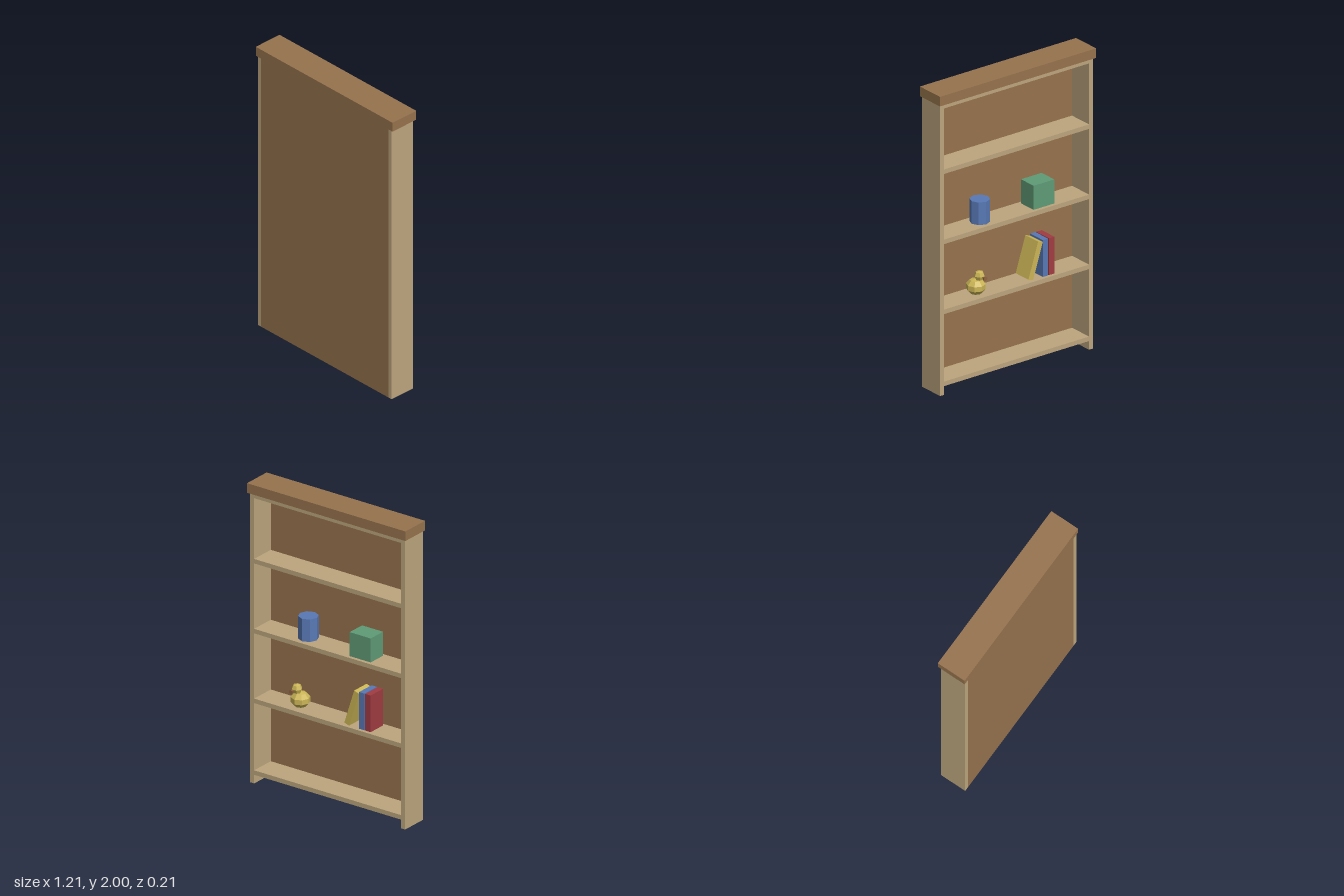
import * as THREE from 'three';

const mat = (name, color, flat = false) => {
  const m = new THREE.MeshStandardMaterial({ color, flatShading: flat });
  m.name = name;
  return m;
};

export function createModel() {
  const paleWood = mat('paleWood', 0xbca57d);
  const brownWood = mat('brownWood', 0x96734d);
  const blue = mat('blue', 0x5878b4, true);
  const green = mat('green', 0x5f9a76);
  const red = mat('red', 0xa03c42);
  const gold = mat('gold', 0xcbb556, true);
  const beakBrown = mat('beakBrown', 0x8f6440, true);

  const root = new THREE.Group();
  root.name = 'bookcase';

  const add = (parent, name, geometry, material, x, y, z) => {
    const mesh = new THREE.Mesh(geometry, material);
    mesh.name = name;
    mesh.position.set(x, y, z);
    parent.add(mesh);
    return mesh;
  };
  // Box given by its minimum and maximum corners
  const box = (parent, name, material, [x0, y0, z0], [x1, y1, z1]) =>
    add(parent, name, new THREE.BoxGeometry(x1 - x0, y1 - y0, z1 - z0), material,
      (x0 + x1) / 2, (y0 + y1) / 2, (z0 + z1) / 2);

  // Case: two sides, thin panel on +z, overhanging cap
  const back = -0.08, front = 0.1, inner = 0.56;
  box(root, 'leftSide', paleWood, [inner, 0, back], [0.59, 1.936, front]);
  box(root, 'rightSide', paleWood, [-0.59, 0, back], [-inner, 1.936, front]);
  box(root, 'panel', brownWood, [-inner, 0, 0.09], [inner, 1.936, front]);
  box(root, 'cap', brownWood, [-0.603, 1.936, -0.095], [0.603, 2, 0.105]);

  // Shelves, named from the bottom up
  const shelfTops = [0.088, 0.567, 1.033, 1.5, 1.936];
  shelfTops.forEach((top, i) =>
    box(root, `shelf${i + 1}`, paleWood, [-inner, top - 0.03, back], [inner, top, 0.09]));

  // Ornaments on the upper middle shelf
  const upper = shelfTops[2];
  add(root, 'jar', new THREE.CylinderGeometry(0.064, 0.064, 0.15, 8), blue, 0.214, upper + 0.075, 0.01);
  box(root, 'greenBox', green, [-0.31, upper, -0.057], [-0.15, upper + 0.16, 0.07]);

  // Books: two upright, one leaning against them
  const lower = shelfTops[1];
  const books = new THREE.Group();
  books.name = 'books';
  root.add(books);
  box(books, 'redBook', red, [-0.31, lower, -0.057], [-0.268, lower + 0.245, 0.07]);
  box(books, 'blueBook', blue, [-0.262, lower, -0.057], [-0.222, lower + 0.245, 0.07]);
  const lean = new THREE.Group();
  lean.name = 'leaningBook';
  lean.position.set(-0.146, lower, 0);
  lean.rotation.z = 0.31;
  books.add(lean);
  box(lean, 'yellowBook', gold, [0, 0, -0.057], [0.038, 0.245, 0.07]);

  // Faceted toy bird with a flared beak facing -z
  const bird = new THREE.Group();
  bird.name = 'toyBird';
  bird.position.set(0.26, lower, 0);
  root.add(bird);
  const body = add(bird, 'birdBody', new THREE.SphereGeometry(0.064, 8, 5), gold, 0, 0.053, -0.01);
  body.scale.y = 0.83;
  add(bird, 'birdHead', new THREE.SphereGeometry(0.035, 6, 4), gold, 0, 0.135, -0.045);
  const beak = add(bird, 'birdBeak', new THREE.ConeGeometry(0.015, 0.035, 6), beakBrown, 0, 0.133, -0.0895);
  beak.rotation.x = Math.PI / 2;

  return root;
}
